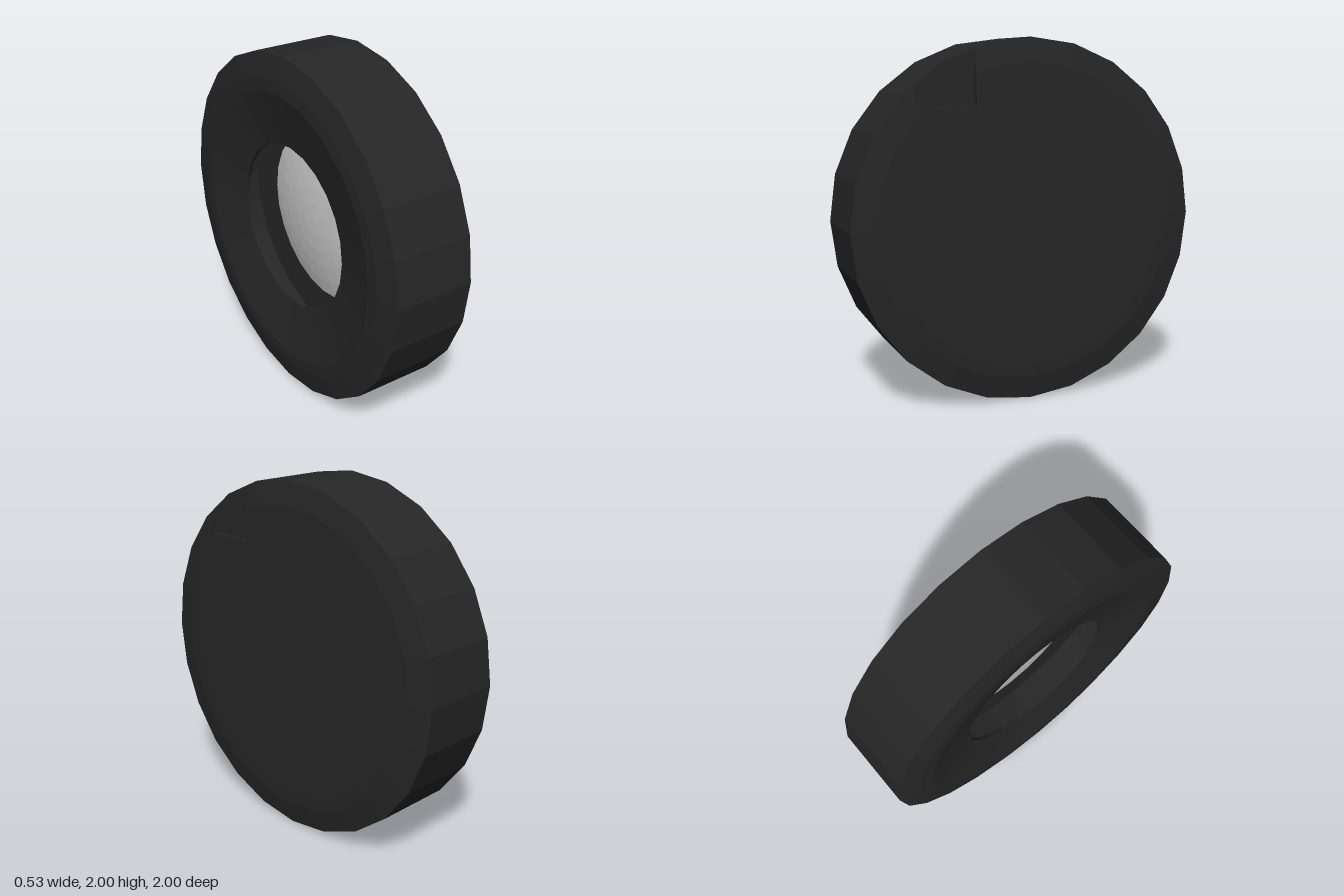
import * as THREE from 'three';

const SIDES = 24;
const EDGE_X = 0.235; // half width at the outer rim, also the notch depth

const dark = new THREE.MeshStandardMaterial({ color: 0x262626, flatShading: true, side: THREE.DoubleSide });
const grey = new THREE.MeshStandardMaterial({ color: 0xcccccc, flatShading: true, side: THREE.DoubleSide });

// Revolve [radius, x] pairs about the x axis
function revolve(name, profile, material) {
  const geometry = new THREE.LatheGeometry(profile.map(([r, x]) => new THREE.Vector2(r, x)), SIDES);
  geometry.rotateZ(-Math.PI / 2);
  const mesh = new THREE.Mesh(geometry, material);
  mesh.name = name;
  return mesh;
}

function meshFromPolygons(name, polygons, material) {
  const positions = [];
  for (const p of polygons) {
    for (let i = 1; i < p.length - 1; i++) {
      for (const v of [p[0], p[i], p[i + 1]]) positions.push(v.x, v.y, v.z);
    }
  }
  const geometry = new THREE.BufferGeometry();
  geometry.setAttribute('position', new THREE.Float32BufferAttribute(positions, 3));
  geometry.computeVertexNormals();
  const mesh = new THREE.Mesh(geometry, material);
  mesh.name = name;
  return mesh;
}

// Keep the part of a convex polygon where sign * (axis - limit) >= 0
function clip(polygon, axis, limit, sign) {
  const out = [];
  polygon.forEach((a, i) => {
    const b = polygon[(i + 1) % polygon.length];
    const da = sign * (a[axis] - limit), db = sign * (b[axis] - limit);
    if (da >= 0) out.push(a);
    if (da * db < 0) out.push(a.clone().lerp(b, da / (da - db)));
  });
  return out;
}

// Closed cover with a shallow rectangular notch cut in from its rim
function buildCover() {
  const rings = [[0, 0.265], [0.8, 0.265], [0.87, 0.262], [1, EDGE_X]];
  const z0 = 0.32, z1 = 0.65, y0 = 0.63;
  const face = [], floor = [], walls = [];
  const sink = (v) => new THREE.Vector3(EDGE_X, v.y, v.z);
  const point = ([r, x], i) => {
    const a = (i / SIDES) * Math.PI * 2;
    return new THREE.Vector3(x, r * Math.cos(a), r * Math.sin(a));
  };
  for (let i = 0; i < SIDES; i++) {
    for (let k = 0; k < rings.length - 1; k++) {
      const quad = [point(rings[k], i), point(rings[k + 1], i), point(rings[k + 1], i + 1), point(rings[k], i + 1)];
      if (k === 0) quad.pop();
      const column = clip(clip(quad, 'z', z0, 1), 'z', z1, -1);
      face.push(clip(quad, 'z', z0, -1), clip(quad, 'z', z1, 1), clip(column, 'y', y0, -1));
      const cut = clip(column, 'y', y0, 1);
      floor.push(cut.map(sink));
      // Notch walls follow the edges of the cut
      cut.forEach((a, j) => {
        const b = cut[(j + 1) % cut.length];
        const on = (axis, value) => Math.abs(a[axis] - value) < 1e-6 && Math.abs(b[axis] - value) < 1e-6;
        if (on('z', z0) || on('z', z1) || on('y', y0)) walls.push([a, b, sink(b), sink(a)]);
      });
    }
  }
  const cover = new THREE.Group();
  cover.name = 'cover';
  cover.add(
    meshFromPolygons('coverFace', face, dark),
    meshFromPolygons('notchFloor', floor, dark),
    meshFromPolygons('notchWalls', walls, dark)
  );
  return cover;
}

export function createModel() {
  const model = new THREE.Group();
  model.name = 'roundLensHousing';

  // Housing: inner seat, cavity wall, lip, dished face, chamfer and rim
  model.add(revolve('housing', [
    [0.5, 0.02], [0.73, 0.02], [0.73, -0.17], [0.486, -0.18], [0.486, -0.2],
    [0.8, -0.265], [0.87, -0.262], [1, -EDGE_X], [1, EDGE_X]
  ], dark));

  model.add(buildCover());

  // Shallow domed lens inside the opening
  const lens = [];
  for (let i = 0; i <= 5; i++) {
    const t = i / 5;
    lens.push([0.5 * t, 0.02 - 0.07 * (1 - t * t)]);
  }
  model.add(revolve('lens', lens, grey));

  model.children.forEach((part) => { part.position.y = 1; });
  return model;
}
